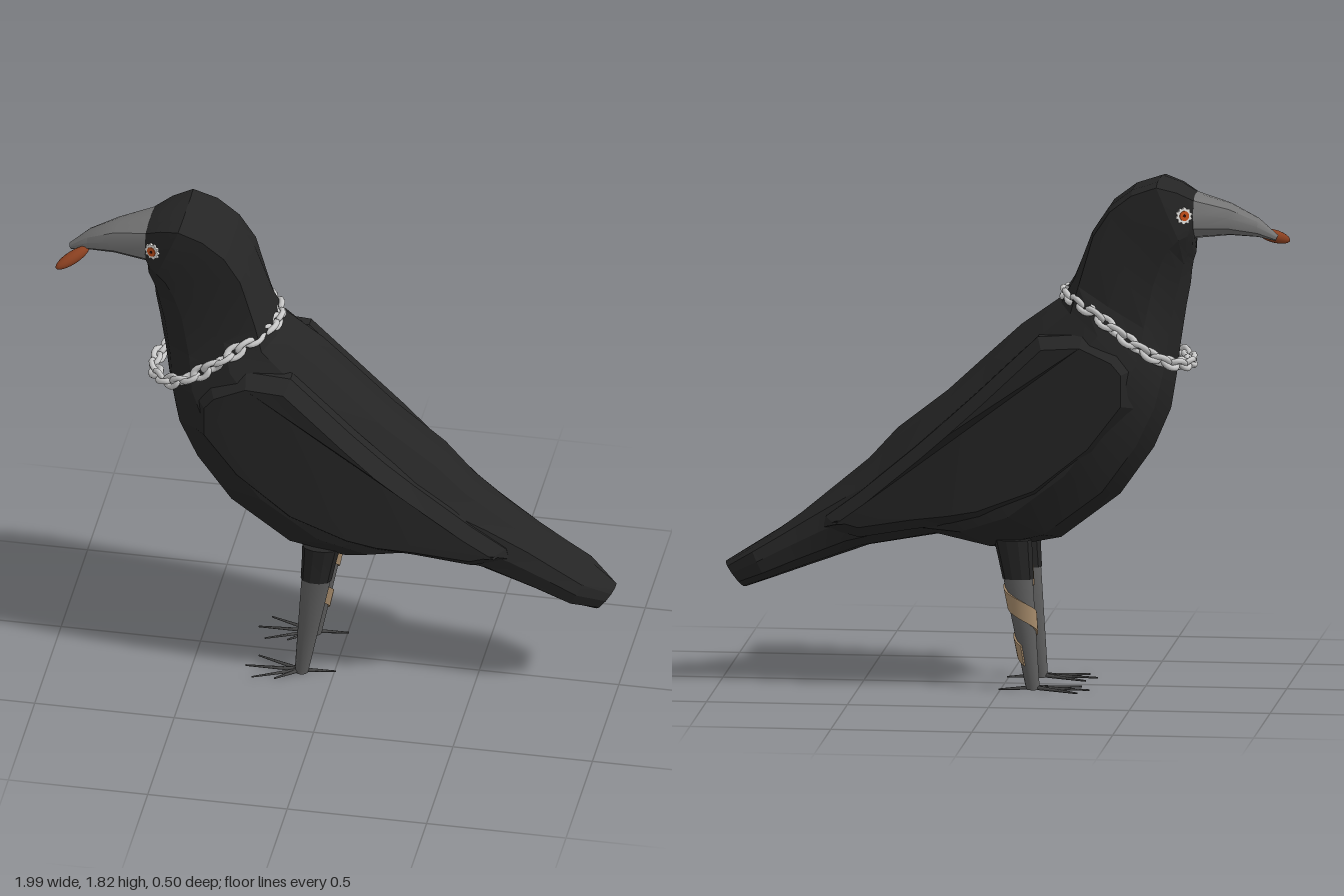
import * as THREE from 'three';
import { toCreasedNormals } from 'three/addons/utils/BufferGeometryUtils.js';

const mat = (name, color) => Object.assign(new THREE.MeshStandardMaterial({ color }), { name });
const M = {
  feather: mat('black feathers', 0x252525),
  beak: mat('beak grey', 0x747474),
  leg: mat('leg grey', 0x5e5e5e),
  toe: mat('toe grey', 0x484848),
  chain: mat('chain silver', 0xcacaca),
  eyeRim: mat('eye white', 0xf6f4f0),
  iris: mat('iris orange', 0xc8501a),
  pupil: mat('pupil dark', 0x301008),
  bandage: mat('bandage tan', 0xa58a6a),
  roll: mat('roll brown', 0x8a4020),
};

function add(parent, name, geometry, material) {
  const mesh = new THREE.Mesh(geometry, material);
  mesh.name = name;
  parent.add(mesh);
  return mesh;
}

// Skin over a list of closed rings, with fan caps at both ends
function loft(rings, crease = 0.3) {
  const n = rings[0].length, last = rings.length - 1, idx = [];
  const pts = rings.flat();
  for (let i = 0; i < last; i++) for (let j = 0; j < n; j++) {
    const a = i * n + j, b = i * n + (j + 1) % n;
    idx.push(a, b, a + n, b, b + n, a + n);
  }
  [0, last].forEach((r) => {
    const c = pts.length;
    pts.push(rings[r].reduce((s, p) => s.add(p), new THREE.Vector3()).divideScalar(n));
    for (let j = 0; j < n; j++) {
      const a = r * n + j, b = r * n + (j + 1) % n;
      if (r === 0) idx.push(c, b, a); else idx.push(c, a, b);
    }
  });
  const g = new THREE.BufferGeometry().setFromPoints(pts);
  g.setIndex(idx);
  return toCreasedNormals(g, crease);
}

// Half sections as [depth from back to belly, width]
const BOXY = [[0, 0], [0, 0.5], [0.03, 0.96], [0.35, 1], [0.68, 0.92], [0.9, 0.52], [1, 0]];
const ROUND = [[0, 0], [0.03, 0.36], [0.14, 0.72], [0.38, 1], [0.72, 0.97], [0.92, 0.6], [1, 0]];

// One section: top point, bottom point, half width, boxiness
function section([tx, ty, bx, by, w, k]) {
  const half = BOXY.map(([v, s], i) => {
    const d = THREE.MathUtils.lerp(ROUND[i][0], v, k);
    const z = THREE.MathUtils.lerp(ROUND[i][1], s, k) * w;
    return new THREE.Vector3(tx + (bx - tx) * d, ty + (by - ty) * d, z);
  });
  const other = half.slice(1, -1).reverse().map((p) => new THREE.Vector3(p.x, p.y, -p.z));
  return [...half, ...other];
}

// Point on the leg surface at an angle and height
function legPoint(a, y, z, grow) {
  const t = y / 0.4;
  return new THREE.Vector3(-0.115 + 0.053 * t + (0.024 + 0.028 * t + grow) * Math.cos(a), y,
    z + (0.022 + 0.008 * t + grow) * Math.sin(a));
}

const legRing = (y, z, grow = 0) =>
  Array.from({ length: 10 }, (_, i) => legPoint(i / 5 * Math.PI, y, z, grow));

// Strip winding down the leg in a spiral
function makeBandage(z) {
  const rings = [], start = 2.8, end = -2 * Math.PI - 1.1, steps = 30;
  for (let i = 0; i <= steps; i++) {
    const a = start + (end - start) * i / steps, y = 0.335 + 0.028 * a, h = 0.036;
    rings.push([legPoint(a, y + h, z, 0.007), legPoint(a, y - h, z, 0.007),
      legPoint(a, y - h, z, -0.004), legPoint(a, y + h, z, -0.004)]);
  }
  return loft(rings, 0.6);
}

function makeLeg(side) {
  const leg = new THREE.Group(), z = side * 0.126;
  leg.name = side > 0 ? 'frontSideLeg' : 'farSideLeg';
  add(leg, 'thigh', loft([legRing(0.54, z, 0.006), legRing(0.48, z, 0.004), legRing(0.4, z, 0.003)]), M.feather);
  add(leg, 'shin', loft([legRing(0.41, z), legRing(0.2, z), legRing(0.005, z)], 0.8), M.leg);
  // Toes fanned forward, one back
  [[-0.315, 0.0], [-0.28, 0.07], [-0.28, -0.07], [-0.2, 0.065], [0.005, -0.02]].forEach(([x, dz]) => {
    const from = new THREE.Vector3(-0.115, 0.012, z), to = new THREE.Vector3(x, 0.006, z + dz);
    const dir = to.clone().sub(from), len = dir.length();
    const toe = add(leg, 'toe', new THREE.CylinderGeometry(0.003, 0.008, len, 6), M.toe);
    toe.position.copy(from).addScaledVector(dir, 0.5);
    toe.quaternion.setFromUnitVectors(new THREE.Vector3(0, 1, 0), dir.normalize());
  });
  if (side < 0) add(leg, 'bandage', makeBandage(z), M.bandage);
  return leg;
}

function makeWing(side) {
  const outline = [[-0.48, 1.17], [-0.43, 1.23], [-0.3, 1.29], [-0.14, 1.28], [0.08, 1.07], [0.2, 0.96], [0.3, 0.87],
    [0.5, 0.7], [0.62, 0.61], [0.63, 0.57], [0.5, 0.54], [0.3, 0.58], [0.17, 0.6], [0.06, 0.62], [-0.15, 0.7],
    [-0.35, 0.86], [-0.48, 1.03]];
  const g = new THREE.ExtrudeGeometry(new THREE.Shape(outline.map((p) => new THREE.Vector2(...p))), {
    depth: 0.04, bevelThickness: 0.055, bevelSize: 0.04, bevelOffset: -0.04, bevelSegments: 1, steps: 1,
  });
  g.translate(0, 0, side > 0 ? 0.157 : -0.197);
  // Draw the wing in toward the tail
  const p = g.attributes.position;
  for (let i = 0; i < p.count; i++) {
    const t = Math.max(0, p.getX(i) - 0.17) / 0.43;
    p.setZ(i, p.getZ(i) * (1 - 0.34 * t));
  }
  return toCreasedNormals(g, 0.3);
}

function makeEye(side) {
  const eye = new THREE.Group();
  eye.name = 'eye';
  const normal = new THREE.Vector3(-0.45, 0.05, side * 0.88).normalize();
  eye.position.set(-0.648, 1.71, side * 0.122);
  eye.quaternion.setFromUnitVectors(new THREE.Vector3(0, 0, 1), normal);
  // Scalloped white rim
  const rim = new THREE.Shape(Array.from({ length: 60 }, (_, i) => {
    const a = i / 30 * Math.PI, r = 0.028 + 0.003 * Math.cos(10 * a);
    return new THREE.Vector2(r * Math.cos(a), r * Math.sin(a));
  }));
  add(eye, 'eyeRim', new THREE.ExtrudeGeometry(rim, { depth: 0.008, bevelEnabled: false }), M.eyeRim);
  [['iris', 0.0175, 0.011, M.iris], ['pupil', 0.005, 0.013, M.pupil]].forEach(([name, r, d, m]) => {
    add(eye, name, new THREE.CylinderGeometry(r, r, d, 16).rotateX(Math.PI / 2), m).position.z = d / 2;
  });
  return eye;
}

export function createModel() {
  const bird = new THREE.Group();
  bird.name = 'bird';

  // Head, neck, trunk and tail in one skin
  add(bird, 'body', loft([
    [-0.68, 1.77, -0.68, 1.61, 0.105, 0.6], [-0.62, 1.8, -0.68, 1.56, 0.127, 0.9],
    [-0.55, 1.82, -0.67, 1.53, 0.15, 1], [-0.46, 1.79, -0.665, 1.5, 0.154, 1],
    [-0.38, 1.73, -0.66, 1.45, 0.154, 1], [-0.32, 1.64, -0.645, 1.37, 0.156, 1],
    [-0.25, 1.47, -0.625, 1.24, 0.17, 0.6], [-0.2, 1.39, -0.61, 1.12, 0.215, 0.15],
    [-0.06, 1.29, -0.59, 1.0, 0.246, 0], [0.06, 1.18, -0.53, 0.86, 0.25, 0],
    [0.2, 1.05, -0.41, 0.69, 0.25, 0], [0.38, 0.91, -0.2, 0.53, 0.235, 0],
    [0.48, 0.8, 0, 0.49, 0.21, 0], [0.6, 0.7, 0.2, 0.54, 0.17, 0.1],
    [0.72, 0.6, 0.48, 0.49, 0.13, 0.3], [0.8, 0.54, 0.7, 0.41, 0.12, 0.4],
    [0.89, 0.482, 0.83, 0.362, 0.116, 0.4], [0.99, 0.42, 0.92, 0.33, 0.055, 0],
  ].map(section)), M.feather);

  add(bird, 'beak', loft([
    [-0.97, 1.625, -0.96, 1.605, 0.014, 0.1], [-0.9, 1.685, -0.9, 1.618, 0.042, 0.2],
    [-0.8, 1.737, -0.8, 1.623, 0.07, 0.2], [-0.679, 1.772, -0.679, 1.61, 0.106, 0.5],
  ].map(section), 0.6), M.beak);

  // Small tapered roll held at the beak tip
  const roll = add(bird, 'roll', new THREE.SphereGeometry(1, 16, 12).scale(0.023, 0.071, 0.023), M.roll);
  roll.position.set(-0.947, 1.61, 0.068);
  roll.quaternion.setFromUnitVectors(new THREE.Vector3(0, 1, 0), new THREE.Vector3(-0.09, -0.04, 0.08).normalize());

  for (const side of [1, -1]) {
    add(bird, 'wing', makeWing(side), M.feather);
    bird.add(makeEye(side), makeLeg(side));
  }

  // Neck chain: heavy links turned a quarter each along a tilted oval
  const chain = new THREE.Group();
  chain.name = 'neckChain';
  const link = new THREE.TorusGeometry(0.0195, 0.0105, 8, 14).scale(1.5, 1, 1);
  const count = 34, axis = new THREE.Vector3(1, 0, 0);
  for (let i = 0; i < count; i++) {
    const a = i / count * Math.PI * 2, c = Math.cos(a), s = Math.sin(a);
    const mesh = add(chain, 'chainLink', link, M.chain);
    mesh.position.set(-0.44 + 0.22 * c, 1.29 + 0.12 * c + 0.05 * s * s * c, 0.208 * s);
    const tangent = new THREE.Vector3(-0.22 * s, -0.12 * s, 0.208 * c).normalize();
    mesh.quaternion.setFromUnitVectors(axis, tangent);
    mesh.rotateX(i % 2 ? Math.PI / 4 : -Math.PI / 4);
  }
  bird.add(chain);
  return bird;
}
